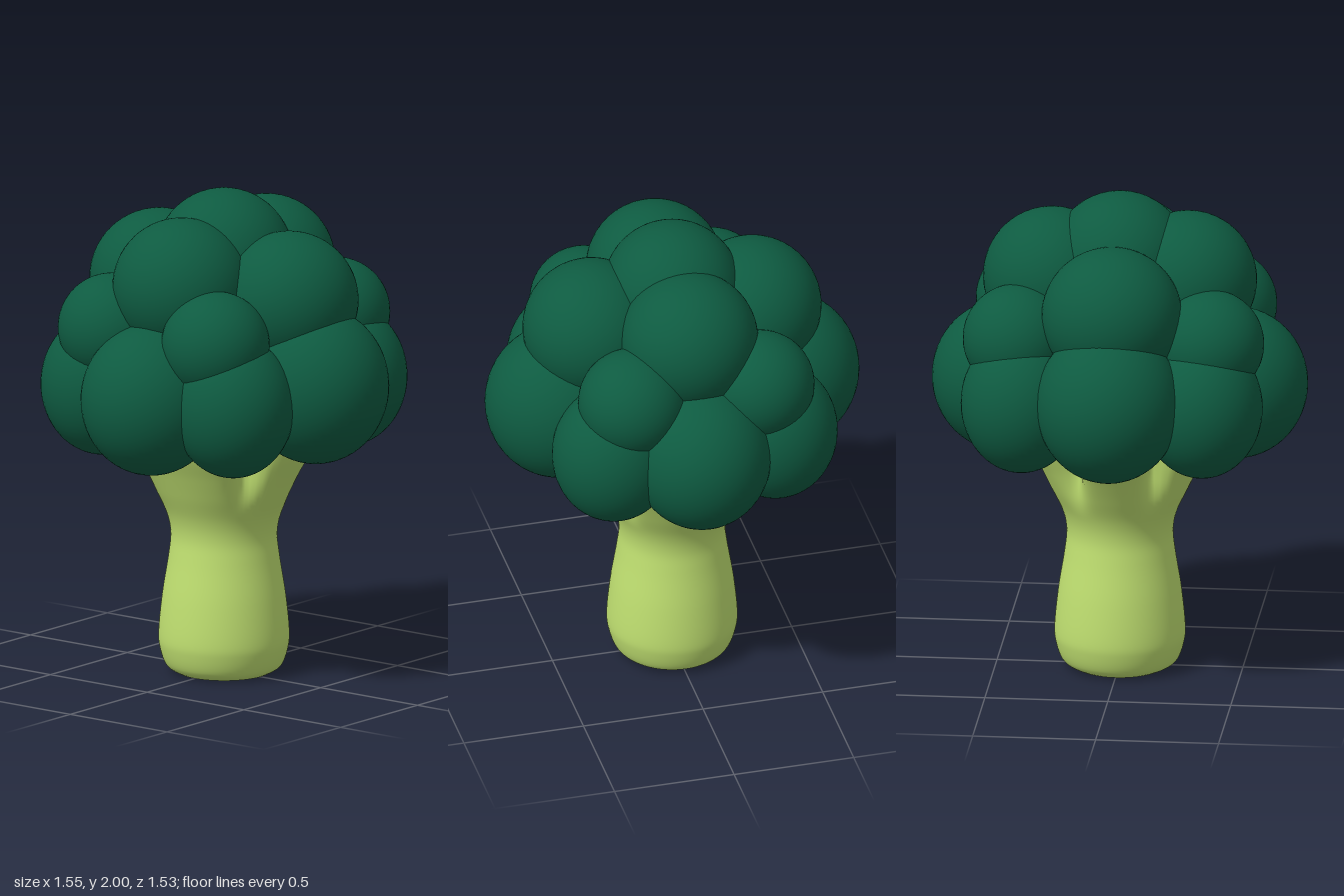
import * as THREE from 'three';
import { mergeVertices } from 'three/addons/utils/BufferGeometryUtils.js';

const florets = new THREE.MeshStandardMaterial({ color: 0x0e5b41 });
florets.name = 'dark green florets';
const stalkGreen = new THREE.MeshStandardMaterial({ color: 0xbfdf70 });
stalkGreen.name = 'lime stalk';

// Rounded floret lobe: centre and radii
function lobe(name, [x, y, z], [rx, ry, rz]) {
  const mesh = new THREE.Mesh(new THREE.SphereGeometry(1, 48, 32), florets);
  mesh.name = name;
  mesh.position.set(x, y, z);
  mesh.scale.set(rx, ry, rz);
  return mesh;
}

// Stalk: turned profile whose flared top splits into four branches
function stalkGeometry() {
  const profile = [
    [0.19, 0], [0.235, 0.03], [0.26, 0.1], [0.265, 0.17], [0.25, 0.32], [0.225, 0.48], [0.216, 0.58],
    [0.236, 0.67], [0.288, 0.77], [0.34, 0.86], [0.395, 0.95], [0.44, 1.05], [0.46, 1.15],
  ].map(([r, y]) => new THREE.Vector2(r, y));
  let geo = new THREE.LatheGeometry(new THREE.SplineCurve(profile).getPoints(72), 96);
  const pos = geo.attributes.position;
  for (let i = 0; i < pos.count; i++) {
    const x = pos.getX(i), y = pos.getY(i), z = pos.getZ(i);
    const flare = THREE.MathUtils.smoothstep(y, 0.68, 0.96);
    const angle = Math.atan2(Math.abs(z), Math.abs(x));
    const groove = 1 - 0.3 * flare * Math.exp(-(((angle - 0.6) / 0.18) ** 2));
    pos.setX(i, x * groove);
    pos.setZ(i, z * groove * (1 - 0.06 * flare));
  }
  // Weld the seam so the shading runs smoothly round
  geo.deleteAttribute('uv');
  geo.deleteAttribute('normal');
  geo = mergeVertices(geo, 1e-5);
  geo.computeVertexNormals();
  return geo;
}

export function createModel() {
  const model = new THREE.Group();
  model.name = 'broccoli';

  const stalk = new THREE.Mesh(stalkGeometry(), stalkGreen);
  stalk.name = 'stalk';
  const base = new THREE.Mesh(new THREE.CircleGeometry(0.19, 96), stalkGreen);
  base.name = 'stalkBase';
  base.rotation.x = Math.PI / 2;
  model.add(stalk, base);

  const crown = new THREE.Group();
  crown.name = 'crown';
  model.add(crown);
  crown.add(
    lobe('crownCore', [0, 1.42, 0], [0.42, 0.4, 0.42]),
    lobe('topLobe', [0, 1.72, 0], [0.28, 0.28, 0.28]),
  );
  for (const s of [1, -1]) {
    const side = s > 0 ? 'left' : 'right';
    const end = s > 0 ? 'front' : 'back';
    crown.add(
      lobe(side + 'UpperLobe', [s * 0.335, 1.587, 0], [0.281, 0.281, 0.285]),
      lobe(end + 'UpperLobe', [0, 1.645, s * 0.276], [0.28, 0.28, 0.28]),
      lobe(side + 'LowerLobe', [s * 0.472, 1.255, 0], [0.302, 0.322, 0.295]),
      lobe(end + 'LowerLobe', [0, 1.212, s * 0.47], [0.285, 0.31, 0.294]),
    );
    // Corner lobes in two tiers
    for (const t of [1, -1]) {
      const corner = side + (t > 0 ? 'Front' : 'Back');
      crown.add(
        lobe(corner + 'LowerCornerLobe', [s * 0.338, 1.21, t * 0.367], [0.252, 0.29, 0.246]),
        lobe(corner + 'MiddleCornerLobe', [s * 0.267, 1.46, t * 0.392], [0.22, 0.22, 0.22]),
      );
    }
  }
  return model;
}
